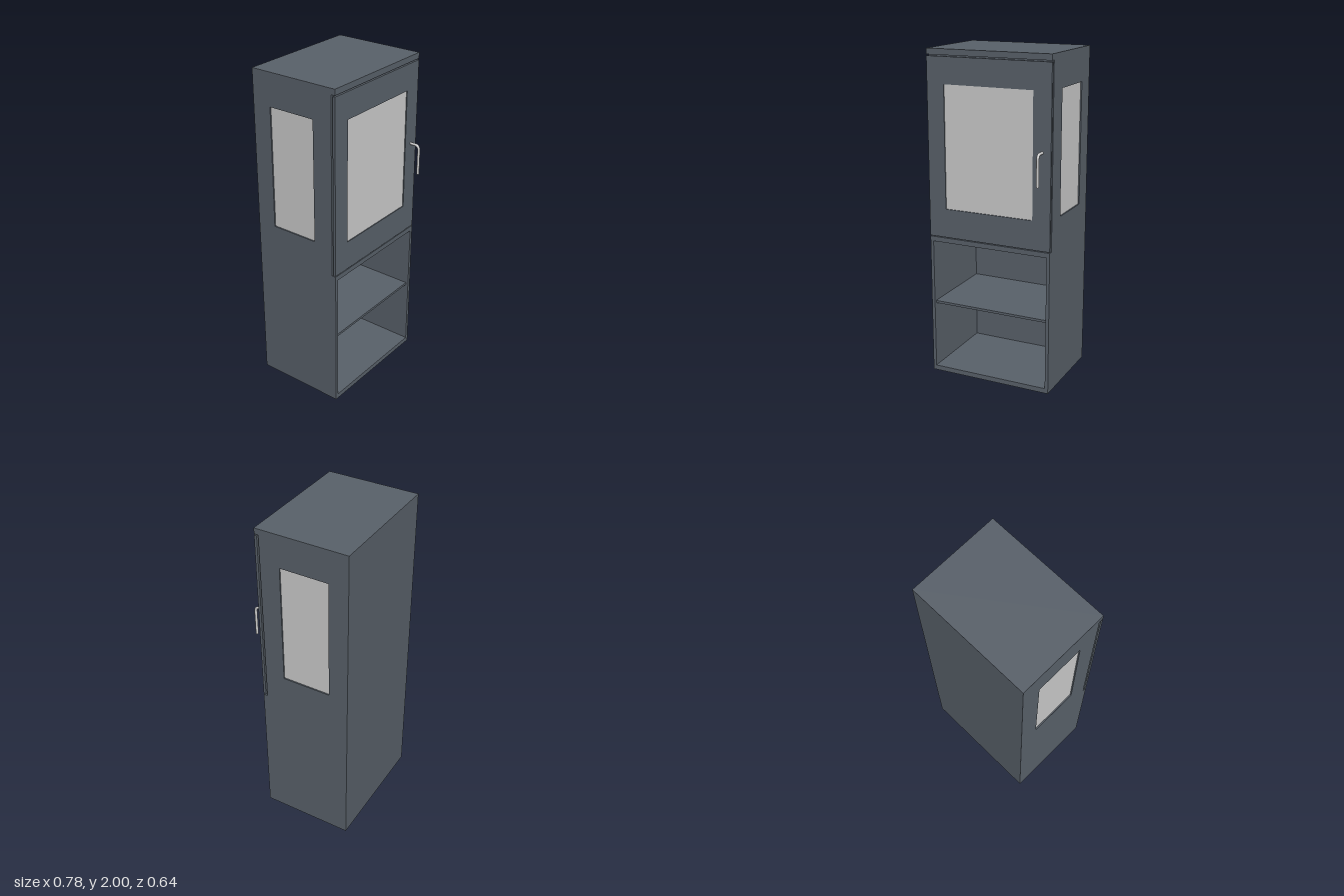
import * as THREE from 'three';

const W = 0.39, BACK = -0.32, FRONT = 0.25, RECESS = 0.224, T = 0.02;
const WIN_LOW = 1.06, WIN_HIGH = 1.8;

export function createModel() {
  const group = new THREE.Group();
  const steel = new THREE.MeshStandardMaterial({ color: 0x59616a });
  const grey = new THREE.MeshStandardMaterial({ color: 0xcccccc });

  const add = (name, geometry, material = steel) => {
    const mesh = new THREE.Mesh(geometry, material);
    mesh.name = name;
    group.add(mesh);
    return mesh;
  };

  // Box given by its lower and upper limits on each axis
  const box = (name, [x0, x1], [y0, y1], [z0, z1], material) =>
    add(name, new THREE.BoxGeometry(x1 - x0, y1 - y0, z1 - z0), material)
      .position.set((x0 + x1) / 2, (y0 + y1) / 2, (z0 + z1) / 2);

  // Flat panel with a rectangular window
  const windowPanel = (outline, u0, u1, depth) => {
    const shape = new THREE.Shape(outline.map(([u, v]) => new THREE.Vector2(u, v)));
    shape.holes.push(new THREE.Path([[u0, WIN_LOW], [u0, WIN_HIGH], [u1, WIN_HIGH], [u1, WIN_LOW]]
      .map(([u, v]) => new THREE.Vector2(u, v))));
    return new THREE.ExtrudeGeometry(shape, { depth, bevelEnabled: false });
  };
  const rect = (x, y0, y1) => [[-x, y0], [x, y0], [x, y1], [-x, y1]];

  const inner = [-W + T, W - T];

  // Side walls, stepped back behind the door, with their panes
  const sideOutline = [[BACK, 0], [FRONT, 0], [FRONT, 0.88], [RECESS, 0.88], [RECESS, 1.965], [BACK, 1.965]];
  for (const [side, s] of [['left', 1], ['right', -1]]) {
    const wall = windowPanel(sideOutline, -0.2, 0.1, T).rotateY(-Math.PI / 2);
    add(side + 'Wall', wall).position.x = s > 0 ? W : -W + T;
    const paneX = s * (W - 0.013);
    box(side + 'Pane', [paneX - 0.005, paneX + 0.005], [WIN_LOW, WIN_HIGH], [-0.2, 0.1], grey);
  }

  // Top, back, base and divider
  box('top', [-W, W], [1.965, 2], [BACK, FRONT]);
  box('backWall', inner, [0, 1.965], [BACK, BACK + T]);
  box('base', inner, [0, 0.03], [BACK + T, FRONT]);
  box('divider', inner, [0.85, 0.88], [BACK + T, FRONT]);

  // Shelf in the open lower compartment
  box('shelf', [-0.37, 0.37], [0.445, 0.46], [BACK + T, 0.235]);

  // Firebox front frame, then the door set off by a narrow gap
  add('frontFrame', windowPanel(rect(W - T, 0.88, 1.965), -0.28, 0.28, T)).position.z = RECESS - T;
  add('door', windowPanel(rect(W, 0.885, 1.957), -0.28, 0.28, 0.016)).position.z = FRONT - 0.016;
  box('doorPane', [-0.28, 0.28], [WIN_LOW, WIN_HIGH], [0.234, 0.244], grey);

  // Bent door handle
  const path = new THREE.CurvePath();
  const v = (y, z) => new THREE.Vector3(0.336, y, z);
  path.add(new THREE.LineCurve3(v(1.457, 0.245), v(1.457, 0.279)));
  path.add(new THREE.QuadraticBezierCurve3(v(1.457, 0.279), v(1.457, 0.309), v(1.427, 0.309)));
  path.add(new THREE.LineCurve3(v(1.427, 0.309), v(1.272, 0.309)));
  add('handle', new THREE.TubeGeometry(path, 48, 0.008, 16), grey);
  const cap = add('handleEnd', new THREE.CircleGeometry(0.008, 16).rotateX(Math.PI / 2), grey);
  cap.position.copy(v(1.272, 0.309));

  return group;
}
